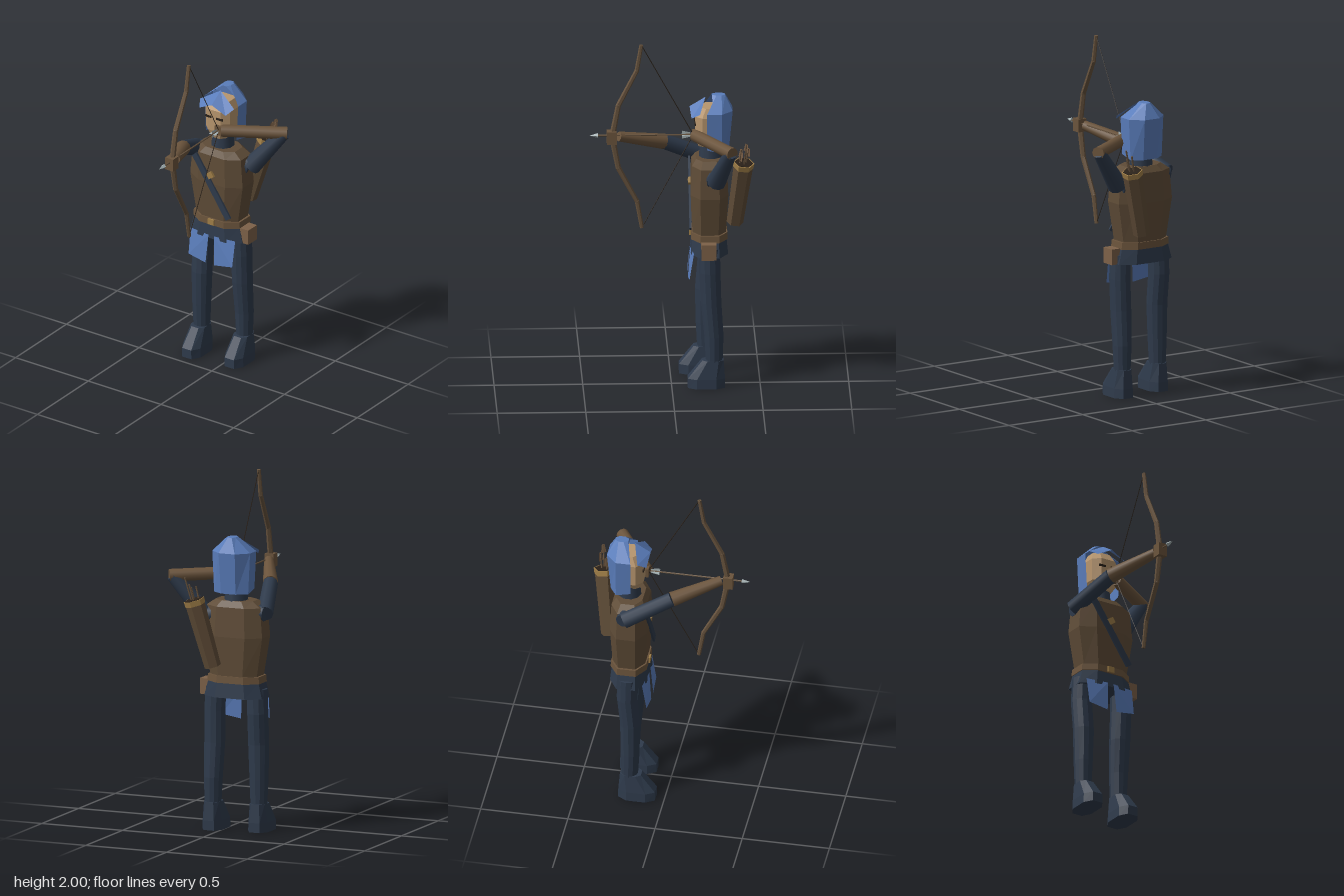
import * as THREE from 'three';

const V = (x, y, z) => new THREE.Vector3(x, y, z);
const mat = (name, color, side = THREE.FrontSide) => {
  const m = new THREE.MeshStandardMaterial({ color, side });
  m.name = name;
  return m;
};

export function createModel() {
  const root = new THREE.Group();
  root.name = 'archer';
  const M = {
    cloth: mat('dark cloth', 0x2e3a4b),
    leather: mat('leather', 0x5f4c37),
    glove: mat('glove leather', 0x6b543c),
    blue: mat('blue cloth', 0x5a7dbb, THREE.DoubleSide),
    skin: mat('skin', 0xb8966e),
    brass: mat('brass', 0xa07f48),
    steel: mat('steel', 0xa3b0b2, THREE.DoubleSide),
    dark: mat('dark', 0x2a2119),
    wood: mat('wood', 0x66523d),
    pouch: mat('pouch leather', 0x7d6148),
  };
  const CX = -0.08, CZ = -0.215;

  const add = (name, geo, m, parent = root) => {
    const mesh = new THREE.Mesh(geo, m);
    mesh.name = name;
    parent.add(mesh);
    return mesh;
  };
  const flat = (geo) => {
    const g = geo.index ? geo.toNonIndexed() : geo;
    g.computeVertexNormals();
    return g;
  };
  // faceted skin through rings of points, listed from bottom to top
  const strip = (rings, closed = true, caps = true) => {
    const tris = [], n = rings[0].length;
    for (let k = 0; k + 1 < rings.length; k++)
      for (let i = 0; i < (closed ? n : n - 1); i++) {
        const j = (i + 1) % n, a = rings[k], b = rings[k + 1];
        tris.push(a[i], b[i], a[j], b[i], b[j], a[j]);
      }
    if (caps) {
      const lo = rings[0], hi = rings[rings.length - 1];
      for (let i = 1; i + 1 < n; i++) tris.push(lo[0], lo[i], lo[i + 1], hi[0], hi[i + 1], hi[i]);
    }
    return flat(new THREE.BufferGeometry().setFromPoints(tris));
  };
  // chamfered eight-sided ring
  const ring = (x, y, z, rx, rz, k = 0.52) =>
    [[1, -k], [1, k], [k, 1], [-k, 1], [-1, k], [-1, -k], [-k, -1], [k, -1]]
      .map(([u, w]) => V(x + u * rx, y, z + w * rz));
  const loft = (name, rows, m, parent) => add(name, strip(rows.map((r) => ring(...r))), m, parent);
  // tapered rod between two points
  const rod = (name, a, b, ra, rb, m, sides = 10, parent = root, open = false) => {
    const g = new THREE.CylinderGeometry(rb, ra, a.distanceTo(b), sides, 1, open);
    const mesh = add(name, sides < 8 ? flat(g) : g, m, parent);
    mesh.position.copy(a).lerp(b, 0.5);
    mesh.quaternion.setFromUnitVectors(V(0, 1, 0), b.clone().sub(a).normalize());
    return mesh;
  };
  const box = (name, w, h, d, x, y, z, m) => {
    const mesh = add(name, new THREE.BoxGeometry(w, h, d), m);
    mesh.position.set(x, y, z);
    return mesh;
  };

  // legs and boots, the right one a little forward
  for (const [side, x, dz] of [['left', 0.057, 0], ['right', -0.208, 0.04]]) {
    const s = Math.sign(x);
    const rows = [
      [0.14, 0.047, -0.24, 0.047, x], [0.3, 0.054, -0.238, 0.054, x], [0.5, 0.06, -0.222, 0.058, x - s * 0.002],
      [0.68, 0.06, -0.215, 0.06, x], [0.82, 0.058, -0.212, 0.06, x - s * 0.004],
    ];
    const pts = rows.map(([y, rx, z, rz, cx]) => {
      const shift = dz * (y < 0.4 ? 1 : y < 0.6 ? 0.6 : 0);
      return Array.from({ length: 12 }, (_, i) => {
        const a = (i / 12) * Math.PI * 2;
        return V(cx + Math.cos(a) * rx, y, z + shift + Math.sin(a) * rz);
      });
    });
    add(side + 'Leg', strip(pts), M.cloth);
    loft(side + 'Boot', [
      [x, 0, -0.195 + dz, 0.062, 0.105], [x, 0.055, -0.195 + dz, 0.06, 0.105],
      [x, 0.16, -0.232 + dz, 0.046, 0.06],
    ], M.cloth);
  }

  // tunic skirt, torso, belt and neck
  loft('skirt', [[CX, 0.77, CZ, 0.178, 0.105], [CX, 0.86, CZ, 0.155, 0.096]], M.cloth);
  loft('torso', [
    [CX, 0.86, CZ, 0.142, 0.092], [CX, 0.9, CZ, 0.145, 0.094], [CX, 1.12, CZ, 0.18, 0.106],
    [CX, 1.29, CZ, 0.165, 0.098], [CX, 1.325, CZ, 0.115, 0.075],
  ], M.leather);
  loft('belt', [[CX, 0.855, CZ, 0.16, 0.103], [CX, 0.895, CZ, 0.157, 0.101]], M.glove);
  box('beltBuckle', 0.04, 0.034, 0.012, CX, 0.876, -0.109, M.brass);
  box('pouch', 0.07, 0.09, 0.085, 0.1, 0.815, -0.208, M.pouch);
  rod('neck', V(CX, 1.3, -0.225), V(CX, 1.43, -0.225), 0.07, 0.058, M.cloth);

  // chest strap
  box('chestStrap', 0.038, 0.435, 0.012, CX, 1.11, -0.106, M.cloth).rotation.z = 0.588;
  box('strapBuckle', 0.04, 0.035, 0.014, CX - 0.002, 1.175, -0.103, M.brass).rotation.z = 0.588;

  // cloth flaps hanging from the skirt
  for (const s of [-1, 1])
    add('frontFlap', strip([
      [V(CX + s * 0.03, 0.615, -0.095), V(CX + s * 0.15, 0.635, -0.1)],
      [V(CX + s * 0.018, 0.79, -0.108), V(CX + s * 0.153, 0.79, -0.125)],
    ], false, false), M.blue);

  // head and eyes
  loft('head', [
    [CX, 1.39, -0.215, 0.05, 0.06], [CX, 1.44, -0.215, 0.083, 0.077],
    [CX, 1.57, -0.215, 0.085, 0.078], [CX, 1.62, -0.225, 0.062, 0.055],
  ], M.skin);
  for (const s of [-1, 1]) box('eye', 0.042, 0.012, 0.008, CX + s * 0.038, 1.525, -0.137, M.dark);

  // hood: crown over a six-point curtain that is open at the face
  const HX = -0.075;
  const hoodRing = (list) => list.map(([x, y, z]) => V(HX + x, y, z));
  const rim = [[-0.117, 1.605, -0.2], [-0.117, 1.605, -0.285], [-0.05, 1.605, -0.347],
    [0.05, 1.605, -0.347], [0.117, 1.605, -0.285], [0.117, 1.605, -0.2]];
  const brow = [[0.065, 1.645, -0.235], [-0.065, 1.645, -0.235]];
  const crown = [[-0.027, -0.255], [-0.027, -0.285], [-0.012, -0.305], [0.012, -0.305],
    [0.027, -0.285], [0.027, -0.255], [0.012, -0.23], [-0.012, -0.23]].map(([x, z]) => [x, 1.69, z]);
  const hem = rim.map(([x, , z], i) => [x * 0.9, i % 5 ? 1.37 : 1.39, z < -0.3 ? -0.325 : z]);
  const top = strip([hoodRing([...rim, ...brow]), hoodRing(crown)], true, false);
  add('hoodCrown', top, M.blue);
  add('hoodTop', strip([hoodRing(crown), hoodRing(crown.map(([x, y, z]) => [x * 0.1, y, -0.268]))], true, false), M.blue);
  add('hoodCurtain', strip([hoodRing(hem), hoodRing(rim)], false, false), M.blue);
  // peaked brim
  add('hoodBrim', strip([
    hoodRing([[-0.09, 1.575, -0.113], [0, 1.62, -0.105], [0.09, 1.575, -0.113]]),
    hoodRing([[-0.117, 1.605, -0.16], [0, 1.675, -0.195], [0.117, 1.605, -0.16]]),
  ], false, false), M.blue);

  // bow arm
  const rs = V(-0.257, 1.255, -0.225), re = V(-0.173, 1.38, 0.035), rh = V(-0.045, 1.455, 0.295);
  rod('rightUpperArm', rs, re, 0.047, 0.043, M.cloth);
  rod('rightForearm', re, rh, 0.044, 0.028, M.glove);
  rod('rightShoulder', V(-0.17, 1.26, -0.225), rs, 0.055, 0.045, M.cloth);
  // drawing arm
  const ls = V(0.095, 1.225, -0.25), le = V(0.27, 1.45, -0.325), lh = V(-0.03, 1.46, -0.135);
  rod('leftShoulder', V(0.02, 1.25, -0.235), ls, 0.055, 0.055, M.cloth);
  rod('leftUpperArm', ls, le, 0.056, 0.036, M.cloth);
  rod('leftForearm', V(0.285, 1.452, -0.335), lh, 0.036, 0.035, M.glove);
  box('drawingHand', 0.05, 0.055, 0.05, -0.04, 1.46, -0.145, M.glove);

  // bow, grip and string
  const bow = new THREE.Group();
  bow.name = 'bow';
  root.add(bow);
  const BX = -0.04;
  const path = [[0.165, 0.913], [0.192, 1.07], [0.298, 1.27], [0.333, 1.455], [0.298, 1.64], [0.194, 1.845], [0.168, 1.998]]
    .map(([z, y]) => V(BX, y, z));
  const thick = [0.011, 0.013, 0.015, 0.017, 0.015, 0.013, 0.011];
  for (let i = 0; i < 6; i++) rod('bowLimb', path[i], path[i + 1], thick[i], thick[i + 1], M.wood, 6, bow);
  for (let i = 1; i < 6; i++) {
    const joint = add('bowJoint', new THREE.SphereGeometry(thick[i], 8, 6), M.wood, bow);
    joint.position.copy(path[i]);
  }
  box('bowGrip', 0.054, 0.075, 0.055, BX, 1.452, 0.335, M.glove);
  const nock = V(BX, 1.463, -0.125);
  for (const p of [path[0], path[6]]) rod('bowString', p, nock, 0.0025, 0.0025, M.dark, 4, bow);

  // arrows: shaft with crossed vanes at its tail
  const arrow = (name, tail, tip, vane, m) => {
    const g = new THREE.Group();
    g.name = name;
    root.add(g);
    const len = tail.distanceTo(tip), q = new THREE.Quaternion();
    q.setFromUnitVectors(V(0, 1, 0), tip.clone().sub(tail).normalize());
    g.position.copy(tail);
    g.quaternion.copy(q);
    rod('shaft', V(0, 0, 0), V(0, len - 0.03, 0), 0.005, 0.005, M.wood, 6, g);
    const shape = new THREE.Shape([[-0.013, 0], [0.013, 0], [0.024, 0.05], [-0.024, 0.05]]
      .map(([x, y]) => new THREE.Vector2(x * vane, y)));
    for (const a of [0, Math.PI / 2]) add('vane', new THREE.ShapeGeometry(shape), m, g).rotation.y = a;
    rod('point', V(0, len - 0.048, 0), V(0, len, 0), 0.015, 0.0005, M.steel, 4, g);
  };
  arrow('nockedArrow', V(BX, 1.463, -0.11), V(BX, 1.463, 0.46), 1, M.steel);

  // quiver: open six-sided tube with brass rim
  const qb = V(0.005, 0.955, -0.358), qt = V(0.1, 1.335, -0.405);
  const along = (t) => qb.clone().lerp(qt, t);
  rod('quiver', qb, qt, 0.047, 0.056, M.leather, 6);
  rod('quiverRim', along(0.93), along(1.01), 0.058, 0.06, M.brass, 6);
  rod('quiverOpening', along(0.99), along(1.015), 0.052, 0.053, M.dark, 6);
  for (const [x, z, h] of [[0.025, -0.01, 0.13], [-0.022, 0.018, 0.08], [0.0, -0.02, 0.095], [0.012, 0.022, 0.07]]) {
    const tail = along(1).add(V(x + h * 0.2, h, z - 0.005));
    arrow('spareArrow', tail, along(0.4).add(V(x * 0.5, 0, z * 0.5)), 0.75, M.pouch);
  }
  return root;
}
